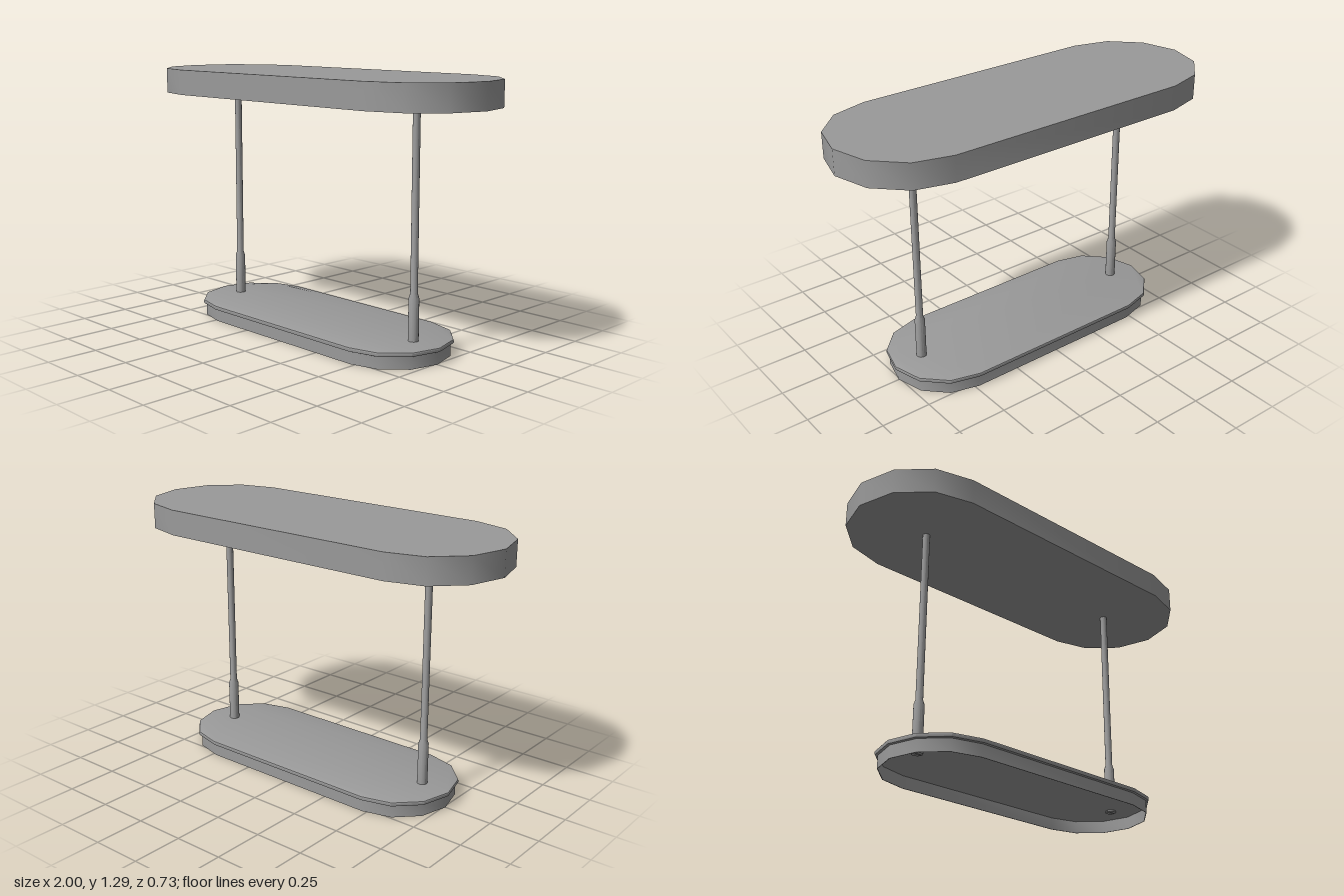
import * as THREE from 'three';
import { toCreasedNormals } from 'three/addons/utils/BufferGeometryUtils.js';

const material = new THREE.MeshStandardMaterial({ color: 0x9a9a9a });
const CREASE = 0.6;

// Capsule outline: two six-sided half circles joined by straight sides
function capsulePoints(halfStraight, radius) {
  const points = [];
  for (const start of [-Math.PI / 2, Math.PI / 2]) {
    const cx = start < 0 ? halfStraight : -halfStraight;
    for (let i = 0; i <= 6; i++) {
      const a = start + (i / 6) * Math.PI;
      points.push(new THREE.Vector2(cx + radius * Math.cos(a), radius * Math.sin(a)));
    }
  }
  return points;
}

// Extrudes a shape upwards from y = 0
function slab(shape, options) {
  const geometry = new THREE.ExtrudeGeometry(shape, { bevelEnabled: false, curveSegments: 8, ...options });
  geometry.rotateX(-Math.PI / 2);
  return toCreasedNormals(geometry, CREASE);
}

function addMesh(parent, name, geometry, x = 0, y = 0, z = 0) {
  const mesh = new THREE.Mesh(geometry, material);
  mesh.name = name;
  mesh.position.set(x, y, z);
  parent.add(mesh);
  return mesh;
}

export function createModel() {
  const model = new THREE.Group();
  model.name = 'capsuleTable';

  // Solid top
  addMesh(model, 'top', slab(new THREE.Shape(capsulePoints(0.633, 0.367)), { depth: 0.125 }), 0, 1.165);

  // Base: thin skirt, open below, under a plate with a bevelled lip
  const base = new THREE.Group();
  base.name = 'base';
  model.add(base);
  const skirt = new THREE.Shape(capsulePoints(0.479, 0.279));
  skirt.holes.push(new THREE.Path(capsulePoints(0.479, 0.276).reverse()));
  addMesh(base, 'baseSkirt', slab(skirt, { depth: 0.063 }));
  const plate = new THREE.Shape(capsulePoints(0.479, 0.286));
  addMesh(base, 'basePlate', slab(plate, {
    depth: 0.008, bevelEnabled: true, bevelThickness: 0.007, bevelSize: 0.007, bevelSegments: 2,
  }), 0, 0.068);

  // Post with a wider, tapered sleeve at its foot
  const post = [[0, 0.075], [0.025, 0.075], [0.025, 0.285], [0.0175, 0.308], [0.0175, 1.167], [0, 1.167]]
    .map(([r, y]) => new THREE.Vector2(r, y));
  const postGeometry = toCreasedNormals(new THREE.LatheGeometry(post, 16), 0.5);

  // Half of a slotted screw head
  const half = new THREE.Shape();
  half.absarc(0, 0, 0.026, 0.15, Math.PI - 0.15, false);
  half.closePath();
  const halfHead = slab(half, { depth: 0.01 });

  for (const side of [1, -1]) {
    const prefix = side > 0 ? 'left' : 'right';
    const x = side * 0.618;
    const z = 0.007;
    addMesh(model, prefix + 'Post', postGeometry, x, 0, z);

    // Slotted screw under the base plate
    const screw = new THREE.Group();
    screw.name = prefix + 'Screw';
    screw.position.set(x, 0.053, z);
    model.add(screw);
    addMesh(screw, 'screwHeadBack', halfHead);
    addMesh(screw, 'screwHeadFront', halfHead).rotation.y = Math.PI;
  }
  return model;
}
